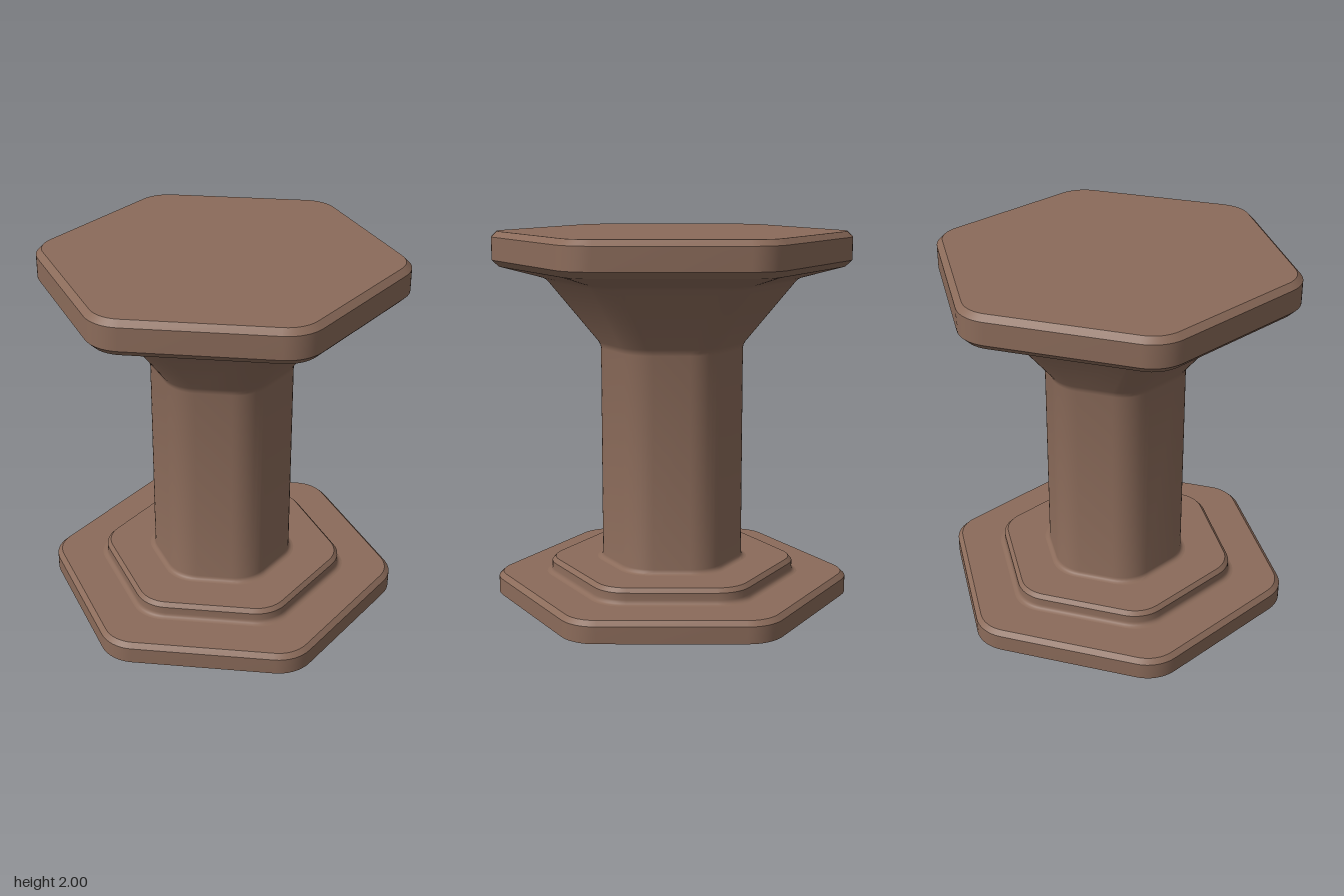
import * as THREE from 'three';
import { toCreasedNormals } from 'three/addons/utils/BufferGeometryUtils.js';

const ARC = 8; // segments per rounded corner

// Rounded hexagon with flats on +-x and corners on +-z; a = centre to flat, r = corner radius
function hexRing(a, r) {
  const ring = [];
  const c = (a - r) / Math.cos(Math.PI / 6);
  for (let k = 0; k < 6; k++) {
    const t = k * Math.PI / 3;
    for (let i = 0; i <= ARC; i++) {
      const n = t + (i / ARC - 0.5) * Math.PI / 3;
      ring.push([c * Math.sin(t) + r * Math.sin(n), c * Math.cos(t) + r * Math.cos(n)]);
    }
  }
  return ring;
}

// Skin a stack of [flat distance, height, corner radius] sections, bottom to top
function loft(profile, capBottom, capTop) {
  const pos = [], index = [];
  const N = 6 * (ARC + 1), last = (profile.length - 1) * N;
  for (const [a, y, r = 0.195] of profile) {
    for (const [x, z] of hexRing(a, r)) pos.push(x, y, z);
  }
  for (let i = 0; i < profile.length - 1; i++) {
    for (let j = 0; j < N; j++) {
      const a = i * N + j, b = i * N + (j + 1) % N;
      index.push(a, b, b + N, a, b + N, a + N);
    }
  }
  const cap = (start, y, up) => {
    const centre = pos.length / 3;
    pos.push(0, y, 0);
    for (let j = 0; j < N; j++) {
      const a = start + j, b = start + (j + 1) % N;
      if (up) index.push(centre, a, b);
      else index.push(centre, b, a);
    }
  };
  if (capBottom) cap(0, profile[0][1], false);
  if (capTop) cap(last, profile[profile.length - 1][1], true);
  const g = new THREE.BufferGeometry();
  g.setAttribute('position', new THREE.Float32BufferAttribute(pos, 3));
  g.setIndex(index);
  return toCreasedNormals(g, 0.5);
}

// Concave quarter fillet rising from a horizontal shelf into a vertical wall
function fillet(wall, floor, radius) {
  const pts = [];
  for (let i = 0; i <= 4; i++) {
    const t = i / 4 * Math.PI / 2;
    pts.push([wall + radius * (1 - Math.sin(t)), floor + radius * (1 - Math.cos(t))]);
  }
  return pts;
}

export function createModel() {
  const group = new THREE.Group();
  const material = new THREE.MeshStandardMaterial({ color: 0x8b6b5a });
  const add = (name, geometry) => {
    const mesh = new THREE.Mesh(geometry, material);
    mesh.name = name;
    group.add(mesh);
  };

  // Bevelled foot plate
  add('basePlate', loft([
    [0.865, 0, 0.207], [0.865, 0.09, 0.207], [0.84, 0.115, 0.182], [0.63, 0.115],
  ], true, false));

  // Smaller step on the foot plate
  add('baseStep', loft([
    ...fillet(0.605, 0.115, 0.025), [0.605, 0.178], [0.585, 0.2, 0.175], [0.385, 0.2],
  ], false, false));

  // Column flaring out into the underside of the top
  add('column', loft([
    ...fillet(0.36, 0.2, 0.025),
    [0.36, 1.375], [0.363, 1.39], [0.371, 1.408],
    [0.605, 1.735], [0.615, 1.746], [0.632, 1.755],
    [0.83, 1.813, 0.172],
  ], false, false));

  // Thick top plate, bevelled on both edges
  add('topPlate', loft([
    [0.83, 1.813, 0.172], [0.865, 1.848, 0.207], [0.865, 1.97, 0.207], [0.835, 2, 0.177],
  ], false, true));

  return group;
}
